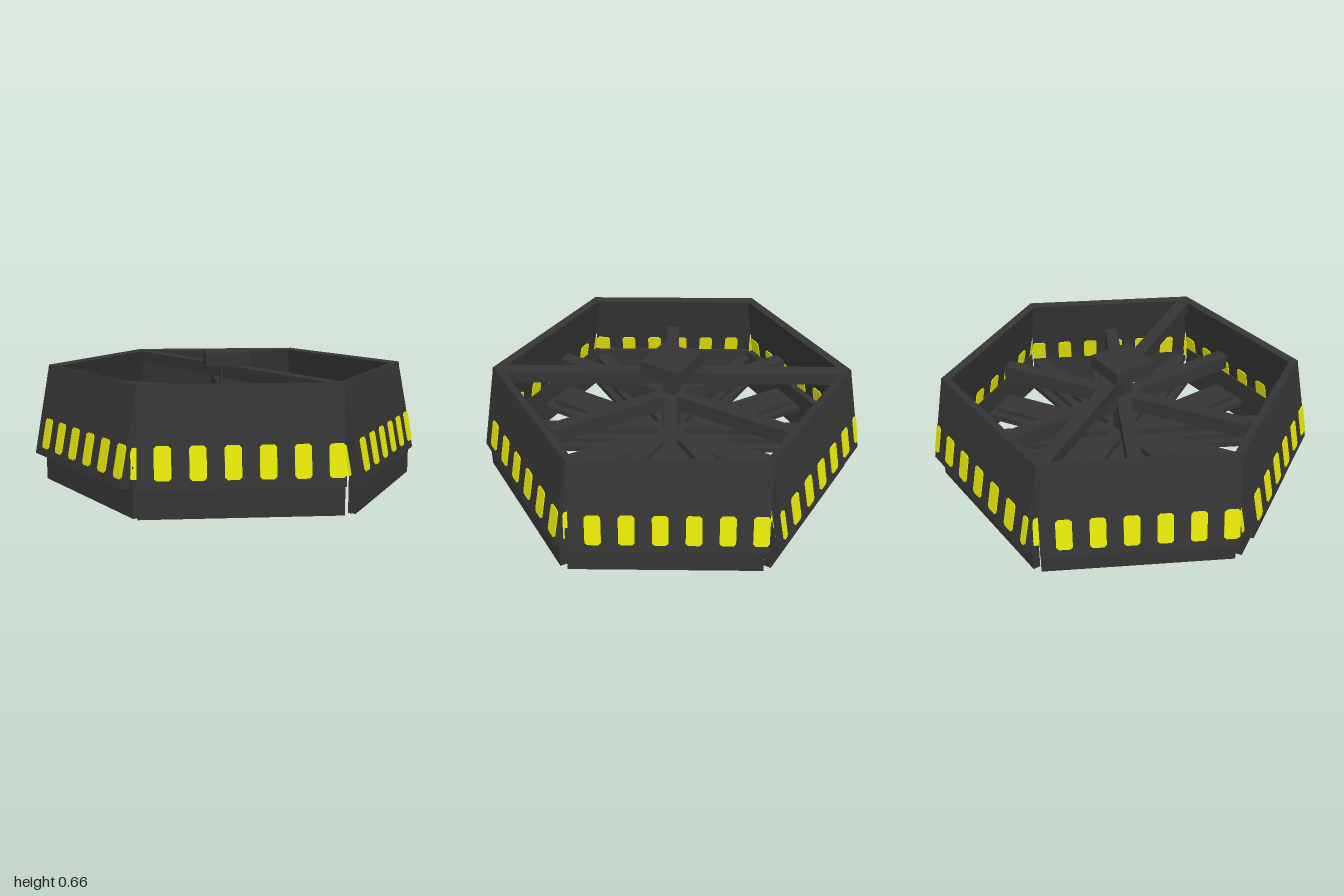
import * as THREE from 'three';

const metal = new THREE.MeshStandardMaterial({ color: 0x353535 });
metal.name = 'dark metal';
const yellow = new THREE.MeshStandardMaterial({ color: 0xe7e708 });
yellow.name = 'warning yellow';

function box(name, w, h, d, x, y, z, parent, material = metal) {
  const mesh = new THREE.Mesh(new THREE.BoxGeometry(w, h, d), material);
  mesh.name = name;
  mesh.position.set(x, y, z);
  parent.add(mesh);
}

// thin stripe with clipped corners, facing +z
function stripeGeometry(x0, x1) {
  const h = 0.077, c = 0.012;
  const shape = new THREE.Shape([
    [x0 + c, -h], [x1 - c, -h], [x1, -h + c], [x1, h - c],
    [x1 - c, h], [x0 + c, h], [x0, h - c], [x0, -h + c],
  ].map(([x, y]) => new THREE.Vector2(x, y)));
  return new THREE.ExtrudeGeometry(shape, { depth: 0.005, bevelEnabled: false });
}

// leaning outer wall with a row of stripes on both faces
function wallPanel(isBack) {
  const panel = new THREE.Group();
  panel.name = 'wallPanel';
  const thick = 0.04, stripeY = -0.115;
  const slab = new THREE.Group();
  slab.name = 'leaningSlab';
  slab.position.set(0, 0.3675, 0.841); // middle of the outer face
  slab.rotation.x = -Math.atan2(0.09, 0.455);
  box('slab', 0.925, 0.464, thick, 0, 0, -thick / 2, slab);

  // the back row is centred and cut at both ends
  const mids = isBack
    ? [-0.46, -0.307, -0.153, 0, 0.153, 0.307, 0.46]
    : [-0.35, -0.195, -0.04, 0.115, 0.27, 0.424];
  for (const mid of mids) {
    const x0 = Math.max(mid - 0.038, -0.462), x1 = Math.min(mid + 0.038, 0.462);
    const outer = new THREE.Mesh(stripeGeometry(x0, x1), yellow);
    outer.name = 'outerStripe';
    outer.position.set(0, stripeY, 0);
    const inner = new THREE.Mesh(stripeGeometry(-x1, -x0), yellow);
    inner.name = 'innerStripe';
    inner.position.set(0, stripeY, -thick);
    inner.rotation.y = Math.PI;
    slab.add(outer, inner);
  }
  // narrow strip set back in the gap beside the wall
  if (!isBack) box('gapStripe', 0.03, 0.14, 0.005, -0.475, stripeY, -thick, slab, yellow);

  panel.add(slab);
  return panel;
}

export function createModel() {
  const model = new THREE.Group();
  model.name = 'hexagonalFan';

  // a group turned about the middle
  const spoke = (name, angle) => {
    const group = new THREE.Group();
    group.name = name;
    group.rotation.y = angle;
    model.add(group);
    return group;
  };

  for (let i = 0; i < 6; i++) {
    const angle = i * Math.PI / 3;

    // leaning walls
    const panel = wallPanel(i === 3);
    panel.rotation.y = angle;
    model.add(panel);

    // upright lower skirt, set slightly off centre
    const skirt = spoke('skirt', angle);
    skirt.position.set(i === 0 ? 0 : 0.0175, 0, 0.01);
    box('skirtPlate', 0.925, 0.235, 0.036, 0, 0.1175, 0.825, skirt);
  }

  // twelve stepped blades at one level
  for (let i = 0; i < 12; i++) {
    const blade = spoke('blade', i * Math.PI / 6);
    box('bladeBase', 0.225, 0.03, 0.765, 0, 0.16, 0.3825, blade);
    box('bladeStep', 0.15, 0.03, 0.73, 0, 0.19, 0.365, blade);
  }

  for (let i = 0; i < 3; i++) {
    // short bars above the blades that face the walls
    box('shortBar', 0.07, 0.08, 1.38, 0, 0.42, 0, spoke('upperBar', i * Math.PI / 3));
    // long bars on the blades that face the corners
    box('longBar', 0.07, 0.035, 1.7, 0, 0.2225, 0, spoke('lowerBar', Math.PI / 6 + i * Math.PI / 3));
  }

  // beam across the top from corner to corner
  box('topBeam', 0.07, 0.065, 1.75, 0, 0.557, 0, spoke('beam', Math.PI / 6));

  // hub and shaft
  box('hub', 0.23, 0.07, 0.23, 0, 0.625, 0, model);
  box('shaft', 0.07, 0.55, 0.07, 0, 0.315, 0, model);
  return model;
}
